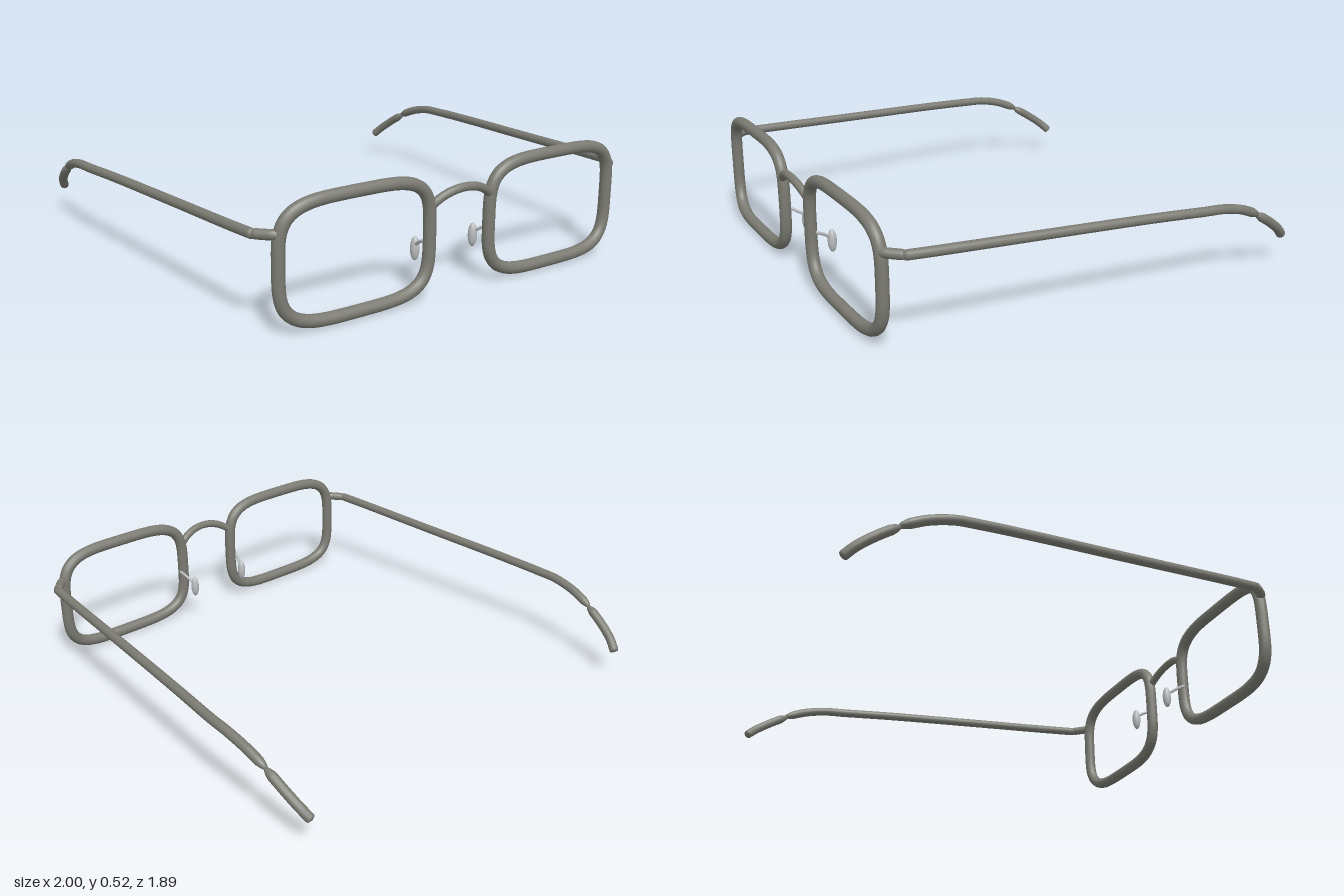
import * as THREE from 'three';
import { mergeVertices } from 'three/addons/utils/BufferGeometryUtils.js';

const frameMetal = new THREE.MeshStandardMaterial({ color: 0x7b7b73 });
frameMetal.name = 'frame metal';
const padSilver = new THREE.MeshStandardMaterial({ color: 0xb9bcbe });
padSilver.name = 'pad silver';

// Round tube along points; profile(t) scales its radius along the length
function tube(name, points, radius, { segments = 40, closed = false, profile = () => 1, sides = 14, material = frameMetal } = {}) {
  const curve = new THREE.CatmullRomCurve3(points.map((p) => new THREE.Vector3(...p)), closed);
  curve.arcLengthDivisions = 600;
  const geo = new THREE.TubeGeometry(curve, segments, radius, sides, closed);
  const pos = geo.attributes.position;
  const v = new THREE.Vector3();
  for (let i = 0; i <= segments; i++) {
    const centre = curve.getPointAt(i / segments);
    for (let j = 0; j <= sides; j++) {
      const k = i * (sides + 1) + j;
      v.fromBufferAttribute(pos, k).sub(centre).multiplyScalar(profile(i / segments)).add(centre);
      pos.setXYZ(k, v.x, v.y, v.z);
    }
  }
  geo.deleteAttribute('uv');
  geo.deleteAttribute('normal');
  const smooth = mergeVertices(geo, 1e-5);
  smooth.computeVertexNormals();
  const mesh = new THREE.Mesh(smooth, material);
  mesh.name = name;
  return mesh;
}

// Closed end over a length a at the start and b at the finish
const ends = (a, b) => (t) => {
  const e = Math.min(1, t / a, (1 - t) / b);
  return Math.max(0, Math.pow(e, 0.45));
};

function side(s) {
  const g = new THREE.Group();
  g.name = s > 0 ? 'leftSide' : 'rightSide';
  const at = (list) => list.map(([x, y, z]) => [s * x, y, z]);

  // Rim: squarish oval, swept back a little at the outer end
  const rim = [];
  for (let i = 0; i < 64; i++) {
    const a = (i / 64) * Math.PI * 2;
    const c = Math.cos(a), n = Math.sin(a);
    const u = Math.sign(c) * Math.pow(Math.abs(c), 0.5);
    const w = Math.sign(n) * Math.pow(Math.abs(n), 0.5);
    const sweep = u > 0 ? 0.014 * u ** 4 : 0.004 * u ** 4;
    rim.push([0.482 + 0.333 * u, 0.262 + 0.234 * w, 0.907 - sweep]);
  }
  g.add(tube('rim', at(rim), 0.0255, { segments: 128, closed: true }));

  // End piece joining rim and temple
  g.add(tube('endPiece', at([[0.81, 0.388, 0.895], [0.83, 0.388, 0.887], [0.855, 0.387, 0.86], [0.882, 0.386, 0.828]]), 0.02,
    { segments: 24, profile: ends(0.08, 0.1) }));

  // Temple arm, narrowing where it meets the tip
  g.add(tube('temple', at([[0.88, 0.386, 0.845], [0.893, 0.381, 0.7], [0.928, 0.364, 0.2], [0.958, 0.35, -0.2],
    [0.976, 0.338, -0.44], [0.979, 0.332, -0.54], [0.975, 0.31, -0.64], [0.968, 0.28, -0.715], [0.964, 0.264, -0.75]]), 0.02,
    { segments: 140, profile: ends(0.008, 0.03) }));

  // Down-curved ear tip
  g.add(tube('earTip', at([[0.965, 0.267, -0.735], [0.961, 0.245, -0.775], [0.952, 0.207, -0.835], [0.938, 0.165, -0.892], [0.917, 0.122, -0.937]]), 0.02,
    { segments: 50, profile: ends(0.16, 0.03) }));

  // Nose pad on its thin stem
  g.add(tube('padStem', at([[0.172, 0.238, 0.895], [0.165, 0.225, 0.865], [0.147, 0.192, 0.812]]), 0.0065,
    { segments: 10, sides: 8, material: padSilver }));
  const pad = new THREE.Mesh(new THREE.SphereGeometry(1, 20, 14), padSilver);
  pad.name = 'nosePad';
  pad.scale.set(0.019, 0.05, 0.019);
  pad.position.set(s * 0.147, 0.178, 0.812);
  g.add(pad);
  return g;
}

export function createModel() {
  const model = new THREE.Group();
  model.name = 'eyeglasses';
  for (const s of [1, -1]) model.add(side(s));

  // Arched bridge
  const arch = [];
  for (let i = -4; i <= 4; i++) {
    const u = i / 4;
    arch.push([0.148 * u, 0.432 - 0.056 * Math.pow(Math.abs(u), 2.2), 0.926 - 0.02 * u * u]);
  }
  model.add(tube('bridge', arch, 0.0175, { segments: 40 }));
  return model;
}
